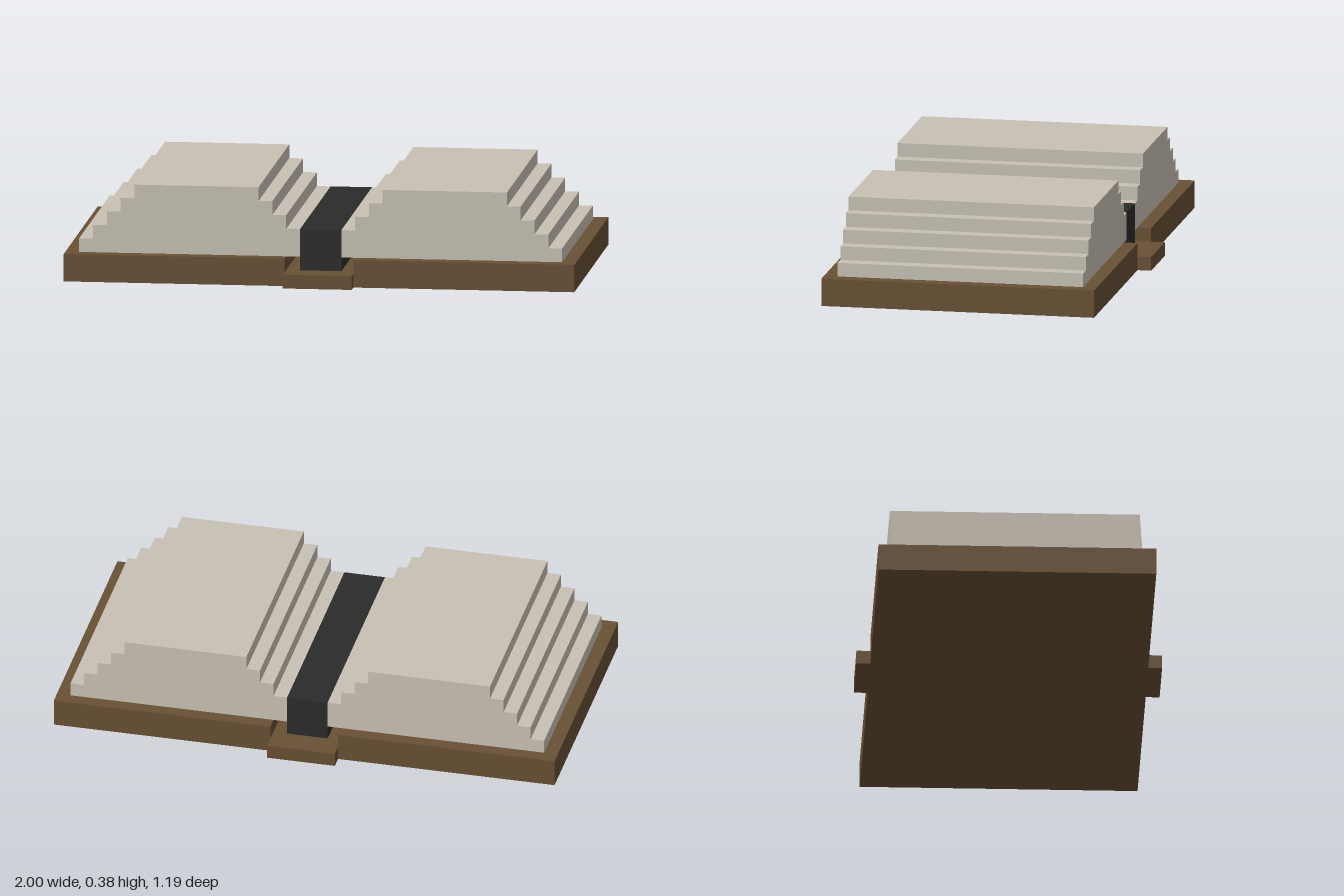
import * as THREE from 'three';

const U = 2 / 37; // one grid step of the blocky design

export function createModel() {
  const book = new THREE.Group();
  book.name = 'openBook';

  const material = (name, color) => {
    const m = new THREE.MeshStandardMaterial({ color });
    m.name = name;
    return m;
  };
  const leather = material('brownCover', 0x685034);
  const paper = material('palePaper', 0xc8c1b4);
  const dark = material('darkBinding', 0x2b2b2b);

  const add = (name, geometry, mat) => {
    const mesh = new THREE.Mesh(geometry, mat);
    mesh.name = name;
    book.add(mesh);
    return mesh;
  };

  // Box given by its limits in grid steps, centred on z
  const box = (name, x0, x1, y0, y1, halfDepth, mat) => {
    const g = new THREE.BoxGeometry((x1 - x0) * U, (y1 - y0) * U, 2 * halfDepth * U);
    add(name, g, mat).position.set(((x0 + x1) / 2) * U, ((y0 + y1) / 2) * U, 0);
  };

  // Stepped page stack: profile in the front plane, extruded along z
  const pages = (name, side) => {
    const points = [[1.5, 2]];
    for (let i = 0; i < 5; i++) points.push([17.5 - i, 2 + i], [17.5 - i, 3 + i]);
    for (let i = 0; i < 3; i++) points.push([4.5 - i, 7 - i], [4.5 - i, 6 - i]);
    points.push([1.5, 4]);
    const shape = new THREE.Shape(points.map(([x, y]) => new THREE.Vector2(side * x * U, y * U)));
    const g = new THREE.ExtrudeGeometry(shape, { depth: 18 * U, bevelEnabled: false });
    g.translate(0, 0, -9 * U);
    add(name, g, paper);
  };

  // Covers and page stacks on both sides
  box('leftCover', 2.5, 18.5, 0, 2, 10, leather);
  box('rightCover', -18.5, -2.5, 0, 2, 10, leather);
  pages('leftPages', 1);
  pages('rightPages', -1);

  // Spine plate and the dark binding above it
  box('spine', -2.5, 2.5, 0, 1, 11, leather);
  box('binding', -1.5, 1.5, 1, 4, 9, dark);

  return book;
}
